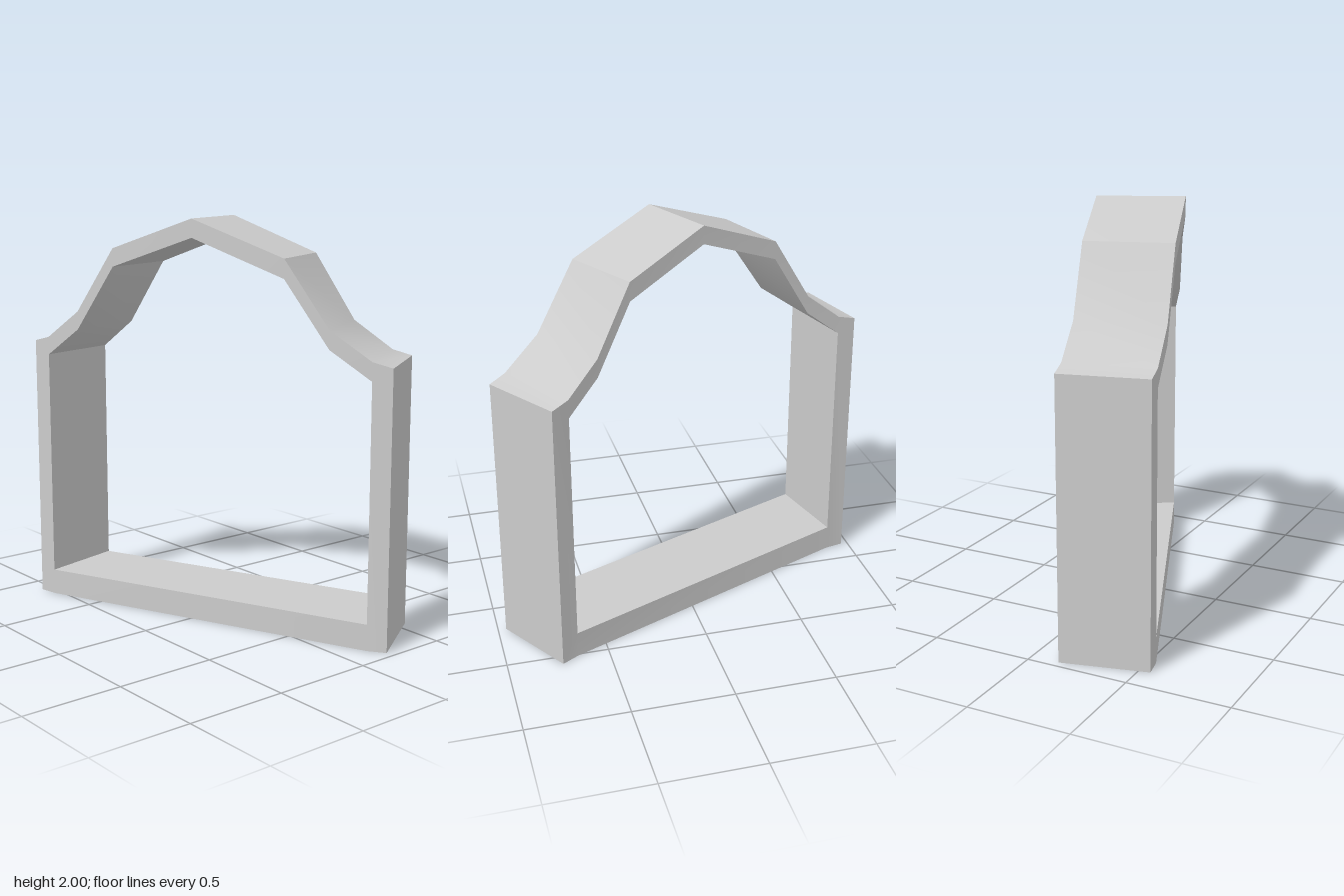
import * as THREE from 'three';
import { toCreasedNormals } from 'three/addons/utils/BufferGeometryUtils.js';

// Stations across the bent frame: front x, front z, back x, back z
const STATIONS = [
  [-0.865, 0.555, -0.965, 0.14],
  [-0.77, 0.537, -0.87, 0.12],
  [-0.57, 0.487, -0.683, 0.077],
  [-0.35, 0.42, -0.48, 0.015],
  [0.085, 0.27, -0.08, -0.125],
  [0.507, 0.063, 0.318, -0.313],
  [0.705, -0.04, 0.495, -0.407],
  [0.88, -0.143, 0.652, -0.512],
  [0.96, -0.197, 0.735, -0.56],
];

// Ring of sections, clockwise from the front: outer station, outer y, inner station, inner y
const RING = [
  // arch, with a shoulder at each end
  [0, 1.35, 1, 1.285],
  [1, 1.375, 1, 1.285],
  [2, 1.52, 2, 1.43],
  [3, 1.845, 3, 1.755],
  [4, 2.0, 4, 1.91],
  [5, 1.828, 5, 1.735],
  [6, 1.51, 6, 1.42],
  [7, 1.375, 7, 1.285],
  [8, 1.35, 7, 1.285],
  // jamb feet and straight sill
  [8, 0, 7, 0.13],
  [7, 0, 7, 0.13],
  [1, 0, 1, 0.13],
  [0, 0, 1, 0.13],
];

function frameGeometry() {
  const positions = [];
  const triangle = (a, b, c) => {
    // skip the collapsed triangles where two sections share a corner
    if (a.equals(b) || b.equals(c) || a.equals(c)) return;
    for (const p of [a, b, c]) positions.push(p.x, p.y, p.z);
  };
  const quad = (a, b, c, d) => {
    triangle(a, b, c);
    triangle(a, c, d);
  };
  const front = (s, y) => new THREE.Vector3(STATIONS[s][0], y, STATIONS[s][1]);
  const back = (s, y) => new THREE.Vector3(STATIONS[s][2], y, STATIONS[s][3]);
  const sections = RING.map(([so, yo, si, yi]) => ({
    outF: front(so, yo), outB: back(so, yo),
    inF: front(si, yi), inB: back(si, yi),
  }));

  sections.forEach((a, i) => {
    const b = sections[(i + 1) % sections.length];
    quad(a.outF, b.outF, b.outB, a.outB); // outside
    quad(a.inB, b.inB, b.inF, a.inF); // opening
    quad(a.inF, b.inF, b.outF, a.outF); // front
    quad(a.outB, b.outB, b.inB, a.inB); // back
  });

  const geometry = new THREE.BufferGeometry();
  geometry.setAttribute('position', new THREE.Float32BufferAttribute(positions, 3));
  return toCreasedNormals(geometry, THREE.MathUtils.degToRad(30));
}

export function createModel() {
  const group = new THREE.Group();
  group.name = 'archedWindow';
  const frame = new THREE.Mesh(
    frameGeometry(),
    new THREE.MeshStandardMaterial({ color: 0xcccccc })
  );
  frame.name = 'windowFrame';
  group.add(frame);
  return group;
}
